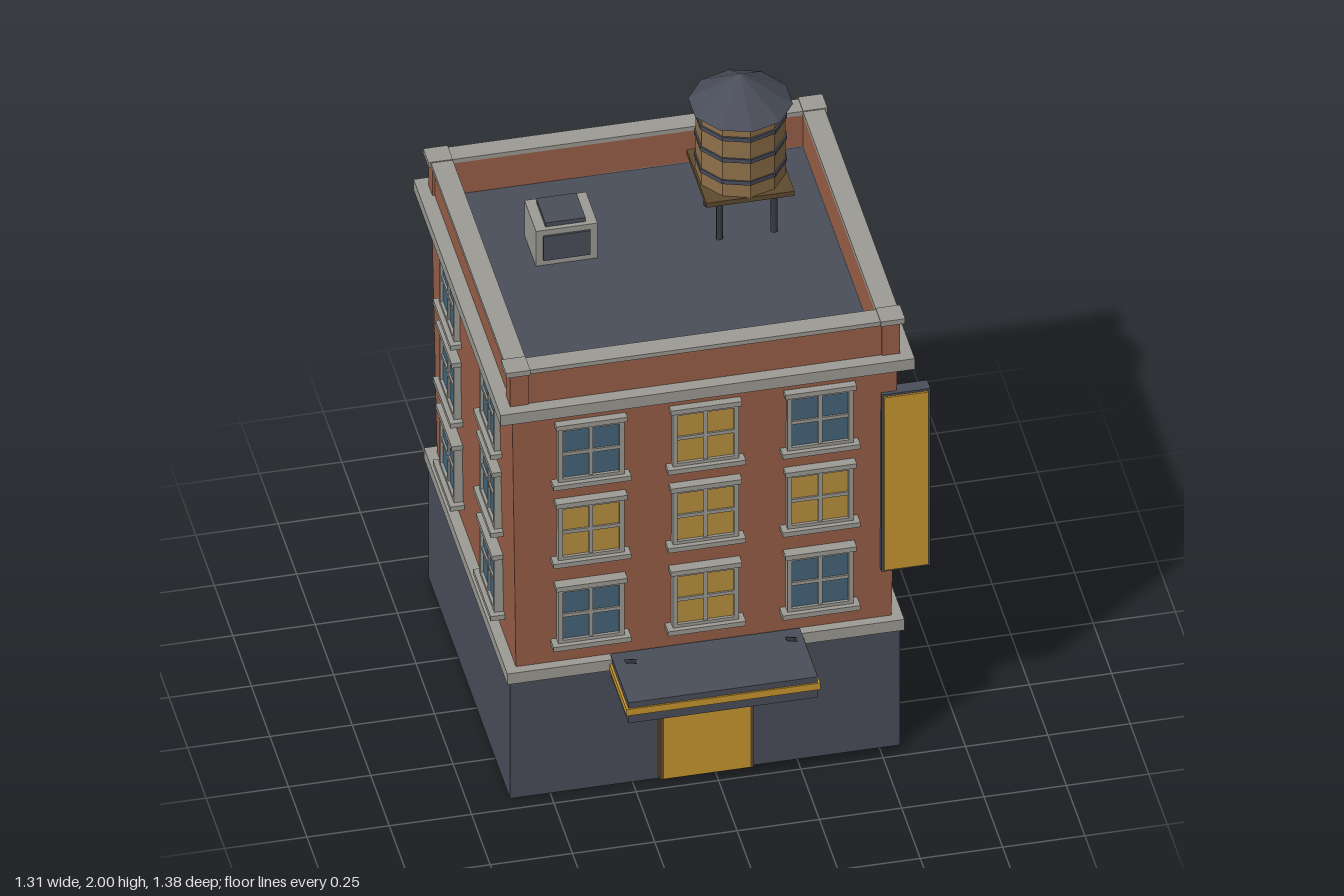
import * as THREE from 'three';

const paint = (name, color, extra = {}) => {
  const m = new THREE.MeshStandardMaterial({ color, ...extra });
  m.name = name;
  return m;
};

export function createModel() {
  const brick = paint('brick', 0x9a5f47);
  const slate = paint('slate', 0x4a4e5a, { flatShading: true });
  const stone = paint('stone', 0x9c9b94);
  const glass = paint('blueGlass', 0x44657a);
  const litGlass = paint('litGlass', 0xb8903f);
  const amber = paint('amber', 0xc8962f);
  const brown = paint('darkWood', 0x5e4a2f);
  const wood = paint('tankWood', 0x8f7049, { flatShading: true });
  const iron = paint('iron', 0x3a3d45);

  const model = new THREE.Group();
  model.name = 'building';
  const building = new THREE.Group(); // centred on the block itself
  building.name = 'block';
  building.position.set(-0.03, 0, -0.1);
  model.add(building);

  const add = (parent, name, geometry, material) => {
    const mesh = new THREE.Mesh(geometry, material);
    mesh.name = name;
    parent.add(mesh);
    return mesh;
  };
  // Box given by its low and high corners
  const box = (parent, name, material, [x0, y0, z0], [x1, y1, z1]) => {
    const mesh = add(parent, name, new THREE.BoxGeometry(x1 - x0, y1 - y0, z1 - z0), material);
    mesh.position.set((x0 + x1) / 2, (y0 + y1) / 2, (z0 + z1) / 2);
    return mesh;
  };
  const slab = (name, material, w, d, y0, y1) =>
    box(building, name, material, [-w, y0, -d], [w, y1, d]);
  // Rectangular ring given by half sizes
  const rect = (target, w, d) =>
    target.moveTo(-w, -d).lineTo(w, -d).lineTo(w, d).lineTo(-w, d).closePath();
  const ring = (name, material, w, d, iw, id, y0, y1) => {
    const shape = rect(new THREE.Shape(), w, d);
    shape.holes.push(rect(new THREE.Path(), iw, id));
    const geo = new THREE.ExtrudeGeometry(shape, { depth: y1 - y0, bevelEnabled: false });
    geo.rotateX(-Math.PI / 2).translate(0, y0, 0);
    return add(building, name, geo, material);
  };

  // Ground floor, belt course and walls that widen upward
  const W = 0.585, D = 0.5475;
  slab('groundFloor', slate, 0.592, 0.55, 0, 0.44);
  slab('beltCourse', stone, 0.603, 0.562, 0.437, 0.477);
  const walls = slab('upperWalls', brick, W, D, 0.46, 1.455);
  const p = walls.geometry.attributes.position;
  for (let i = 0; i < p.count; i++) {
    if (p.getY(i) < 0) {
      p.setX(i, p.getX(i) - Math.sign(p.getX(i)) * 0.015);
      p.setZ(i, p.getZ(i) - Math.sign(p.getZ(i)) * 0.015);
    }
  }
  walls.geometry.computeVertexNormals();

  // Cornice, parapet, coping and roof deck
  const iw = 0.532, id = 0.492;
  ring('cornice', stone, 0.629, 0.587, iw, id, 1.428, 1.468);
  ring('parapet', brick, W, D, iw, id, 1.45, 1.582);
  ring('coping', stone, 0.598, 0.554, iw, id, 1.582, 1.597);
  slab('roofDeck', slate, iw, id, 1.45, 1.465);
  for (const sx of [-1, 1]) for (const sz of [-1, 1]) {
    const post = add(building, 'cornerPost', new THREE.BoxGeometry(0.055, 0.115, 0.055), brick);
    post.position.set(sx * 0.5645, 1.5255, sz * 0.5245);
    const cap = add(building, 'cornerCap', new THREE.BoxGeometry(0.074, 0.018, 0.07), stone);
    cap.position.set(sx * 0.569, 1.591, sz * 0.524);
  }

  // One window facing +z, with z = 0 on the wall plane
  const makeWindow = (pane) => {
    const g = new THREE.Group();
    g.name = 'window';
    box(g, 'pane', pane, [-0.095, -0.1, -0.02], [0.095, 0.1, 0.006]);
    for (const s of [-1, 1]) {
      box(g, 'jamb', stone, [s * 0.093 - 0.007, -0.1, -0.02], [s * 0.093 + 0.007, 0.1, 0.015]);
      box(g, 'rail', stone, [-0.093, s * 0.096 - 0.007, -0.02], [0.093, s * 0.096 + 0.007, 0.015]);
    }
    box(g, 'mullion', stone, [-0.006, -0.095, 0], [0.006, 0.095, 0.012]);
    box(g, 'crossbar', stone, [-0.09, -0.006, 0], [0.09, 0.006, 0.0115]);
    box(g, 'lintel', stone, [-0.108, 0.1, -0.02], [0.108, 0.117, 0.024]);
    box(g, 'sill', stone, [-0.118, -0.117, -0.02], [0.118, -0.1, 0.03]);
    return g;
  };
  [0.664, 0.975, 1.267].forEach((y, row) => {
    [-1, 0, 1].forEach((col) => {
      const win = makeWindow(col === 0 || row === 1 ? litGlass : glass);
      win.position.set(col * 0.348, y, D);
      building.add(win);
    });
    for (const side of [-1, 1]) for (const s of [-1, 1]) {
      const win = makeWindow(glass);
      win.rotation.y = side * Math.PI / 2;
      win.position.set(side * W, y, s * 0.272);
      building.add(win);
    }
  });

  // Door with its amber panel
  box(model, 'doorFrame', brown, [-0.172, 0.01, 0.43], [0.114, 0.41, 0.472]);
  box(model, 'doorPanel', amber, [-0.16, 0.015, 0.47], [0.102, 0.4, 0.475]);

  // Canopy with an amber band and two stay rods
  box(model, 'canopy', slate, [-0.315, 0.405, 0.44], [0.26, 0.482, 0.683]);
  box(model, 'canopyBand', amber, [-0.322, 0.437, 0.44], [0.267, 0.461, 0.688]);
  for (const x of [-0.275, 0.213]) {
    const path = new THREE.LineCurve3(
      new THREE.Vector3(x, 0.475, 0.475), new THREE.Vector3(x, 0.592, 0.634));
    add(model, 'stayRod', new THREE.TubeGeometry(path, 1, 0.007, 6), iron);
  }

  // Blade sign on the front corner
  box(model, 'signCase', slate, [0.505, 0.663, 0.415], [0.653, 1.325, 0.457]);
  for (const z of [0.409, 0.456]) {
    box(model, 'signFace', amber, [0.512, 0.671, z], [0.646, 1.317, z + 0.007]);
  }

  // Roof vent box with hatch and front grille
  box(model, 'ventBox', stone, [-0.397, 1.46, -0.355], [-0.21, 1.595, -0.2]);
  box(model, 'ventHatch', slate, [-0.365, 1.59, -0.338], [-0.243, 1.61, -0.215]);
  box(model, 'ventGrille', slate, [-0.375, 1.485, -0.202], [-0.232, 1.575, -0.194]);

  // Water tank: legs, platform, ten-sided barrel, hoops and cone roof
  const tank = new THREE.Group();
  tank.name = 'waterTank';
  tank.position.set(0.246, 0, -0.297);
  model.add(tank);
  for (const x of [-0.083, 0.083]) for (const z of [-0.083, 0.083]) {
    const leg = add(tank, 'tankLeg', new THREE.CylinderGeometry(0.011, 0.011, 0.17, 6), iron);
    leg.position.set(x, 1.545, z);
  }
  box(tank, 'tankPlatform', brown, [-0.134, 1.625, -0.134], [0.134, 1.642, 0.134]);
  const drum = (name, r0, r1, y0, y1, material) => {
    const mesh = add(tank, name, new THREE.CylinderGeometry(r1, r0, y1 - y0, 10), material);
    mesh.position.y = (y0 + y1) / 2;
  };
  drum('tankBarrel', 0.135, 0.133, 1.64, 1.905, wood);
  for (const y of [1.696, 1.778, 1.857]) drum('tankHoop', 0.139, 0.139, y - 0.007, y + 0.007, slate);
  drum('tankRoof', 0.156, 0.006, 1.902, 2, slate);

  return model;
}
